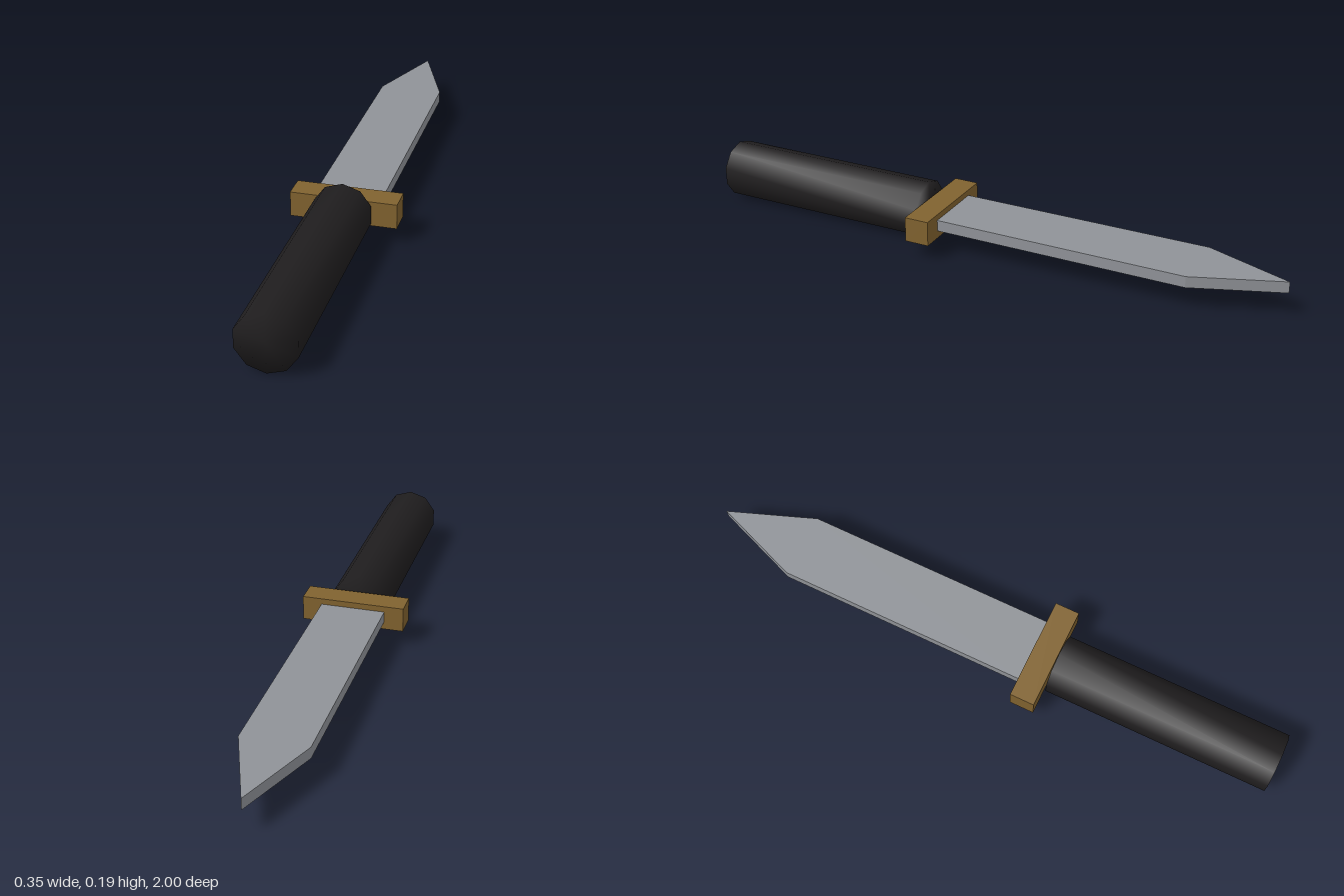
import * as THREE from 'three';
import { mergeVertices } from 'three/addons/utils/BufferGeometryUtils.js';

const CENTRE_Y = 0.098;

function part(name, geometry, color, flatShading) {
  const mesh = new THREE.Mesh(geometry, new THREE.MeshStandardMaterial({ color, flatShading }));
  mesh.name = name;
  return mesh;
}

export function createModel() {
  const group = new THREE.Group();
  group.name = 'knife';

  // Ten-sided grip, with smooth normals shared by sides and caps
  let grip = new THREE.CylinderGeometry(0.097, 0.097, 0.767, 10);
  grip.deleteAttribute('normal');
  grip.deleteAttribute('uv');
  grip = mergeVertices(grip);
  grip.computeVertexNormals();
  grip.rotateX(Math.PI / 2).translate(0, CENTRE_Y, 0.6165);
  group.add(part('handle', grip, 0x1f1d1e, false));

  // Cross guard
  const guard = new THREE.BoxGeometry(0.348, 0.084, 0.083);
  guard.translate(0, CENTRE_Y, 0.185);
  group.add(part('guard', guard, 0x80622f, true));

  // Flat blade with a pointed tip, outlined in plan and extruded upward
  const outline = new THREE.Shape([
    [-0.109, -0.145], [0.109, -0.145], [0.109, 0.71], [0, 1], [-0.109, 0.71],
  ].map(([x, y]) => new THREE.Vector2(x, y)));
  const blade = new THREE.ExtrudeGeometry(outline, { depth: 0.038, bevelEnabled: false });
  blade.rotateX(-Math.PI / 2).translate(0, 0.082, 0);
  group.add(part('blade', blade, 0x8f9297, true));

  return group;
}
